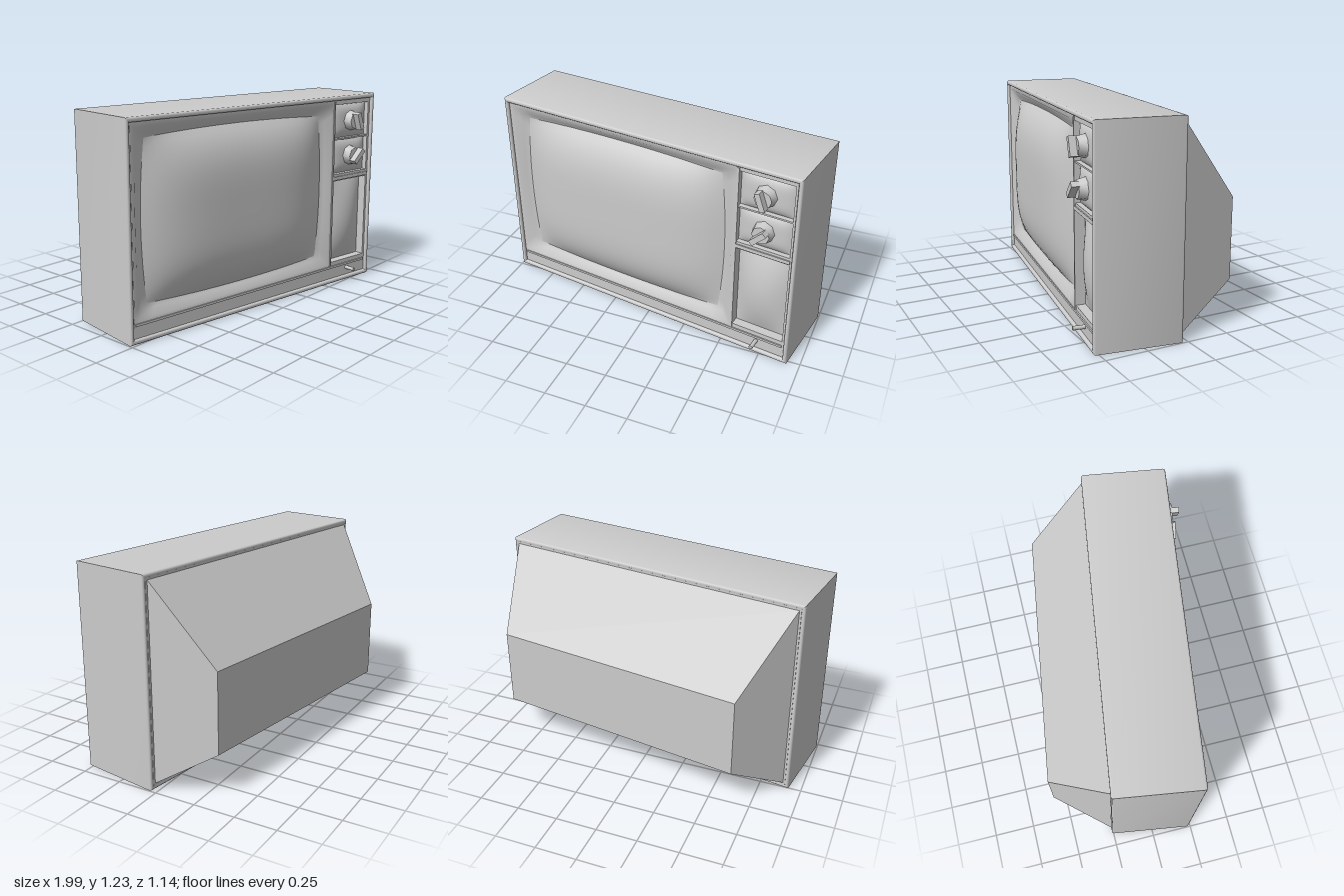
import * as THREE from 'three';
import { toCreasedNormals } from 'three/addons/utils/BufferGeometryUtils.js';

const grey = new THREE.MeshStandardMaterial({ color: 0xcccccc });
const W = 1.942, H = 1.225, D = 0.506, F = D / 2;
const KNOB_X = 0.768;

function add(parent, name, geometry, x = 0, y = 0, z = 0) {
  const mesh = new THREE.Mesh(geometry, grey);
  mesh.name = name;
  mesh.position.set(x, y, z);
  parent.add(mesh);
  return mesh;
}

// Rectangle path from its four limits
function rect(x0, x1, y0, y1, Type = THREE.Shape) {
  return new Type([[x0, y0], [x1, y0], [x1, y1], [x0, y1]].map(p => new THREE.Vector2(...p)));
}

// Closed rectangular cross-section, n points per side, sides bowed outwards
function ring(cx, cy, hx, hy, z, n = 1, bow = 0) {
  const corners = [[-1, -1], [1, -1], [1, 1], [-1, 1]], points = [];
  corners.forEach((a, k) => {
    const b = corners[(k + 1) % 4];
    for (let i = 0; i < n; i++) {
      const u = a[0] + (b[0] - a[0]) * i / n, v = a[1] + (b[1] - a[1]) * i / n;
      points.push([cx + hx * u * (1 + bow * (1 - v * v)), cy + hy * v * (1 + bow * (1 - u * u)), z]);
    }
  });
  return points;
}

// Skin through rings of equal point count
function loft(rings, crease) {
  const n = rings[0].length, index = [];
  for (let r = 0; r < rings.length - 1; r++) {
    for (let i = 0; i < n; i++) {
      const a = r * n + i, b = r * n + (i + 1) % n;
      index.push(a, b, b + n, a, b + n, a + n);
    }
  }
  const g = new THREE.BufferGeometry();
  g.setAttribute('position', new THREE.Float32BufferAttribute(rings.flat(2), 3));
  g.setIndex(index);
  g.computeVertexNormals();
  return toCreasedNormals(g, crease);
}

// Rectangular sheet that swells towards its middle
function bulge(hx, hy, rise, power, bow) {
  const g = new THREE.PlaneGeometry(2, 2, 24, 24), p = g.attributes.position;
  for (let i = 0; i < p.count; i++) {
    const u = p.getX(i), v = p.getY(i);
    p.setXYZ(i, hx * u * (1 + bow * (1 - v * v)), hy * v * (1 + bow * (1 - u * u)),
      rise * (1 - Math.abs(u) ** power) * (1 - Math.abs(v) ** power));
  }
  g.computeVertexNormals();
  return g;
}

function makeKnob(name, y, tilt) {
  const knob = new THREE.Group();
  knob.name = name;
  const skirt = new THREE.CylinderGeometry(0.052, 0.066, 0.055, 8).rotateX(Math.PI / 2);
  add(knob, 'knobSkirt', toCreasedNormals(skirt, 0.9), 0, 0, 0.0275);
  const grip = add(knob, 'knobGrip', new THREE.BoxGeometry(0.032, 0.108, 0.045), 0, 0, 0.073);
  grip.rotation.z = tilt;
  knob.position.set(KNOB_X, y, 0.222);
  return knob;
}

export function createModel() {
  const model = new THREE.Group();
  model.name = 'television';
  const set = new THREE.Group();
  set.name = 'televisionSet';
  model.add(set);

  // Cabinet sleeve with softened edges
  const sleeve = rect(-W / 2, W / 2, 0, H);
  sleeve.holes.push(rect(-0.945, 0.945, 0.028, H - 0.028, THREE.Path));
  const bevel = 0.013;
  const shell = new THREE.ExtrudeGeometry(sleeve, {
    depth: D - 2 * bevel, bevelThickness: bevel, bevelSize: bevel, bevelOffset: -bevel, bevelSegments: 3
  });
  add(set, 'cabinet', toCreasedNormals(shell, 0.6), 0, 0, -F + bevel);
  add(set, 'cabinetBack', new THREE.BoxGeometry(1.9, H - 0.04, 0.04), 0, H / 2, -F + 0.021);

  // Tapered housing behind the cabinet
  const rear = [0.03, 0.502, 0.778, 0.237, -0.602];
  add(set, 'rearHousing', loft([
    ring(0.03, 0.502, 0, 0, -0.602), ring(...rear), ring(0, 0.614, 0.938, 0.578, -F)
  ], 0.3));

  // Fascia with openings for the screen and the control panels
  const fascia = rect(-0.95, 0.95, 0.02, H - 0.02);
  const panels = [[0.955, 1.17], [0.725, 0.945], [0.14, 0.68]];
  fascia.holes.push(rect(-0.937, 0.602, 0.112, 1.192, THREE.Path));
  panels.forEach(([y0, y1]) => fascia.holes.push(rect(0.61, 0.93, y0, y1, THREE.Path)));
  add(set, 'fascia', new THREE.ExtrudeGeometry(fascia, { depth: 0.08, bevelEnabled: false }), 0, 0, 0.155);
  add(set, 'fasciaBacking', new THREE.BoxGeometry(1.9, H - 0.04, 0.02), 0, H / 2, 0.15);

  // Bezel sloping in to the bulging screen
  const cx = -0.167, cy = 0.652, n = 16;
  add(set, 'screenBezel', loft([
    ring(cx, cy, 0.771, 0.542, 0.238, n),
    ring(cx, cy, 0.745, 0.518, 0.236, n, 0.005),
    ring(cx, cy, 0.7, 0.475, 0.208, n, 0.03),
    ring(cx, cy, 0.655, 0.45, 0.198, n, 0.045)
  ], 0.8));
  add(set, 'screen', bulge(0.66, 0.455, 0.1, 4, 0.045), cx, cy, 0.199);

  // Control panels, dial knobs and dividing trim
  panels.forEach(([y0, y1], i) => {
    const hy = (y1 - y0) / 2, lower = i === 2;
    add(set, lower ? 'lowerPanel' : 'knobPanel', bulge(0.16, hy, lower ? 0.05 : 0.025, lower ? 2 : 4, 0),
      0.77, y0 + hy, lower ? 0.18 : 0.205);
  });
  add(set, 'panelTrim', new THREE.BoxGeometry(0.325, 0.022, 0.012), 0.77, 0.698, 0.236);
  add(set, 'panelDivider', new THREE.BoxGeometry(0.012, 1.075, 0.012), 0.605, 0.652, 0.236);
  set.add(makeKnob('upperKnob', 1.062, 0.35), makeKnob('lowerKnob', 0.838, -0.8));

  // Ledge and small switch under the screen
  add(set, 'lowerLedge', new THREE.BoxGeometry(1.86, 0.014, 0.014), 0, 0.106, 0.236);
  add(set, 'powerSwitch', new THREE.CylinderGeometry(0.012, 0.012, 0.08, 10).rotateX(Math.PI / 2), KNOB_X, 0.077, 0.265);

  // The set stands turned a little to one side
  set.position.z = 0.135;
  set.rotation.y = -0.15;
  return model;
}
